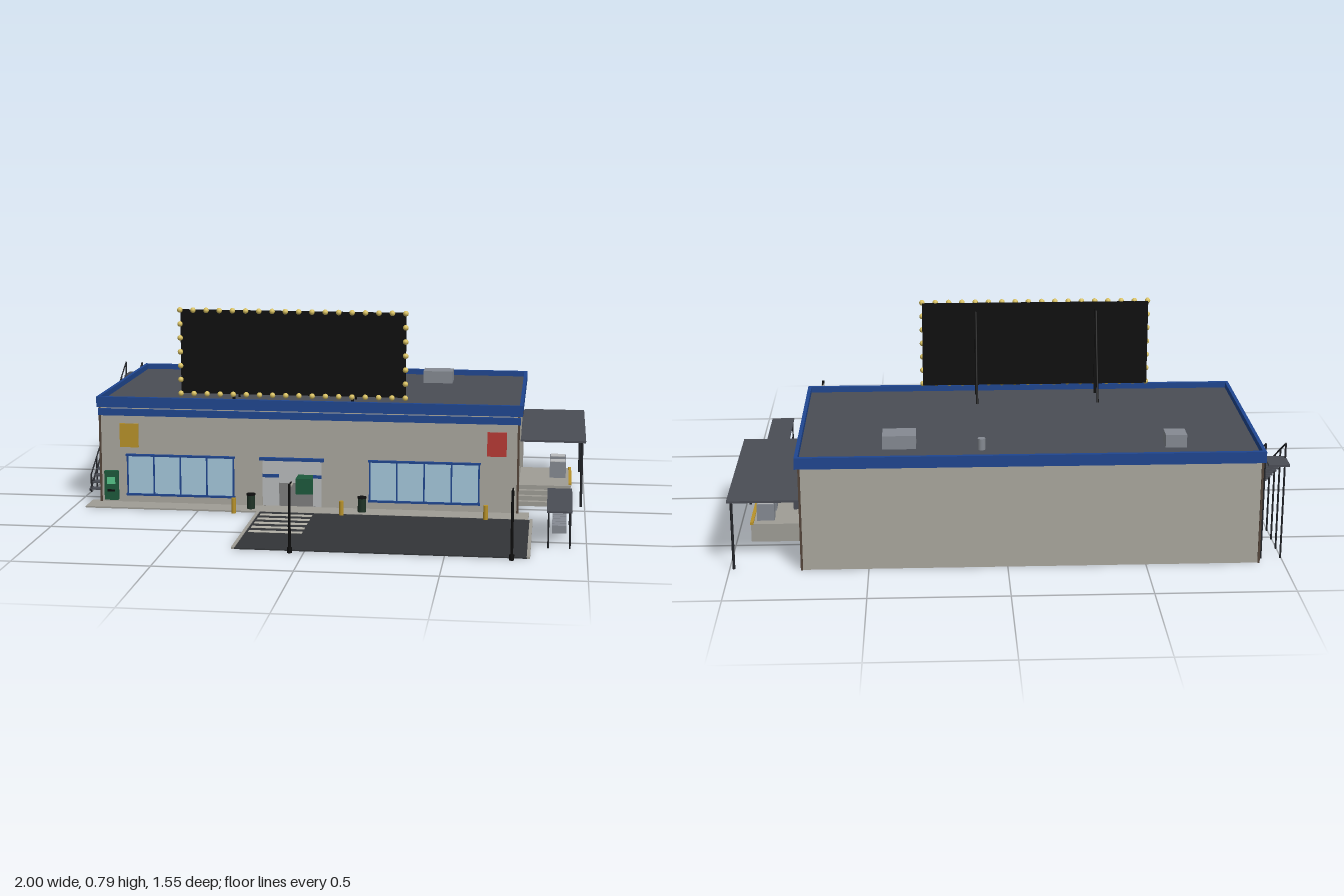
import * as THREE from 'three';

const mat = (color, double) => new THREE.MeshStandardMaterial({ color, side: double ? THREE.DoubleSide : THREE.FrontSide });
const M = {
  wall: mat(0xaaa79e), roof: mat(0x4a4d55), blue: mat(0x1f4690), asphalt: mat(0x333538), black: mat(0x0d0d0d),
  metal: mat(0x23252a), grey: mat(0x858a92), concrete: mat(0x9f9d96), glass: mat(0xa5c8dc), yellow: mat(0xb8922a),
  red: mat(0xb83a34), green: mat(0x1d5a3c), darkGreen: mat(0x1f3326), screen: mat(0x57c78a), bulb: mat(0xd8c060),
  brown: mat(0x6e4f30), trim: mat(0x54453a), stripe: mat(0xb4b2a8), floor: mat(0x6a6a6a), panel: mat(0xb9bbbd),
};

export function createModel() {
  const model = new THREE.Group();
  let parent = model;
  const group = (name) => {
    parent = new THREE.Group();
    parent.name = name;
    model.add(parent);
  };
  const add = (name, geo, m) => {
    const mesh = new THREE.Mesh(geo, m);
    mesh.name = name;
    parent.add(mesh);
    return mesh;
  };
  // Box given by its minimum and maximum on each axis
  const box = (name, m, x0, x1, y0, y1, z0, z1) => {
    const b = add(name, new THREE.BoxGeometry(x1 - x0, y1 - y0, z1 - z0), m);
    b.position.set((x0 + x1) / 2, (y0 + y1) / 2, (z0 + z1) / 2);
    return b;
  };
  const cyl = (name, m, x, z, r, y0, y1, sides = 16) => {
    const c = add(name, new THREE.CylinderGeometry(r, r, y1 - y0, sides), m);
    c.position.set(x, (y0 + y1) / 2, z);
    return c;
  };
  // Straight round bar between two points
  const bar = (name, m, a, b, r = 0.003) => {
    const p = new THREE.Vector3(...a), q = new THREE.Vector3(...b);
    const d = q.clone().sub(p);
    const c = add(name, new THREE.CylinderGeometry(r, r, d.length(), 8), m);
    c.position.copy(p).add(q).multiplyScalar(0.5);
    c.quaternion.setFromUnitVectors(new THREE.Vector3(0, 1, 0), d.normalize());
  };
  // Wall with one rectangular opening, in its own u/y plane
  const wallWithOpening = (name, u0, u1, h, a0, a1, b0, b1, t) => {
    const s = new THREE.Shape([[u0, 0], [u1, 0], [u1, h], [u0, h]].map(p => new THREE.Vector2(...p)));
    s.holes.push(new THREE.Path([[a0, b0], [a0, b1], [a1, b1], [a1, b0]].map(p => new THREE.Vector2(...p))));
    return add(name, new THREE.ExtrudeGeometry(s, { depth: t, bevelEnabled: false }), M.wall);
  };

  // Building shell
  group('building');
  wallWithOpening('frontWall', -0.91, 0.74, 0.4, -0.26, -0.025, 0.004, 0.19, 0.02).position.z = 0.07;
  const side = wallWithOpening('rightWall', -0.07, 0.74, 0.4, 0.595, 0.66, 0.01, 0.215, 0.02);
  side.rotation.y = Math.PI / 2;
  side.position.x = 0.72;
  box('leftWall', M.wall, -0.91, -0.89, 0, 0.4, -0.74, 0.07);
  box('backWall', M.wall, -0.89, 0.72, 0, 0.4, -0.74, -0.72);
  box('floor', M.floor, -0.905, 0.735, 0.001, 0.006, -0.735, 0.085);
  box('roof', M.roof, -0.91, 0.745, 0.395, 0.408, -0.745, 0.09);
  for (const x of [-0.91, 0.74]) for (const z of [-0.74, 0.09])
    box('cornerTrim', M.trim, x - 0.004, x + 0.004, 0, 0.385, z - 0.004, z + 0.004);
  box('frontParapet', M.blue, -0.92, 0.755, 0.388, 0.43, 0.088, 0.103);
  box('backParapet', M.blue, -0.92, 0.755, 0.388, 0.43, -0.755, -0.74);
  box('leftParapet', M.blue, -0.92, -0.907, 0.388, 0.43, -0.74, 0.088);
  box('rightParapet', M.blue, 0.742, 0.755, 0.388, 0.43, -0.74, 0.088);
  box('frontBand', M.blue, -0.915, 0.748, 0.355, 0.382, 0.085, 0.1);

  // Shop windows
  group('windows');
  for (const [x0, x1] of [[-0.8, -0.375], [0.165, 0.59]]) {
    box('glass', M.glass, x0, x1, 0.04, 0.195, 0.085, 0.094);
    box('header', M.blue, x0 - 0.006, x1 + 0.006, 0.193, 0.201, 0.085, 0.102);
    box('sill', M.blue, x0 - 0.006, x1 + 0.006, 0.034, 0.042, 0.085, 0.102);
    for (let i = 0; i <= 4; i++) {
      const x = x0 + (x1 - x0) * i / 4;
      box('mullion', M.blue, x - 0.003, x + 0.003, 0.04, 0.195, 0.085, 0.098);
    }
  }

  // Entrance with open sliding doors and a counter inside
  group('entrance');
  box('doorHeader', M.blue, -0.27, -0.015, 0.19, 0.202, 0.085, 0.105);
  for (const [x0, x1] of [[-0.26, -0.195], [-0.06, -0.025]]) {
    box('slidingDoor', M.panel, x0, x1, 0.006, 0.19, 0.078, 0.084);
    box('doorBand', M.blue, x0, x1, 0.12, 0.133, 0.083, 0.088);
  }
  box('interiorBackdrop', M.panel, -0.55, 0.3, 0.006, 0.39, -0.33, -0.32);
  box('counter', M.green, -0.16, 0, 0.006, 0.07, -0.2, -0.12);

  // Wall posters and cash machine
  group('frontFittings');
  box('yellowPoster', M.yellow, -0.83, -0.755, 0.228, 0.323, 0.088, 0.096);
  box('redPoster', M.red, 0.62, 0.695, 0.228, 0.323, 0.088, 0.096);
  box('cashMachine', M.green, -0.893, -0.838, 0.015, 0.132, 0.088, 0.108);
  box('machineScreen', M.screen, -0.882, -0.849, 0.08, 0.108, 0.107, 0.11);
  box('machineShelf', M.black, -0.88, -0.85, 0.05, 0.058, 0.107, 0.113);

  // Roof billboard with bulbs and braces
  group('billboard');
  box('board', M.black, -0.585, 0.3, 0.445, 0.775, 0.045, 0.063);
  const bulbGeo = new THREE.SphereGeometry(0.011, 12, 8);
  const cols = 17, rows = 6;
  for (let i = 0; i <= cols; i++) for (let j = 0; j <= rows; j++) {
    if (i % cols && j % rows) continue;
    add('bulb', bulbGeo, M.bulb).position.set(-0.585 + 0.885 * i / cols, 0.445 + 0.33 * j / rows, 0.071);
  }
  for (const x of [-0.38, 0.09]) {
    box('post', M.black, x - 0.005, x + 0.005, 0.4, 0.75, 0.036, 0.046);
    bar('brace', M.black, [x, 0.745, 0.04], [x, 0.4, -0.09], 0.0045);
  }

  // Rooftop units
  group('roofEquipment');
  box('smallUnit', M.grey, -0.652, -0.575, 0.405, 0.455, -0.63, -0.555);
  box('largeUnit', M.grey, 0.325, 0.447, 0.405, 0.458, -0.61, -0.52);
  cyl('ventPipe', M.grey, 0.09, -0.62, 0.014, 0.405, 0.45);

  // Outside stair on the left wall, rising to the back
  group('roofStair');
  const steps = 18, zLow = -0.06, zTop = -0.68, rise = 0.385;
  for (let i = 0; i < steps; i++) {
    const z = zLow + (zTop - zLow) * i / steps, y = rise * (i + 1) / (steps + 1);
    box('tread', M.roof, -1, -0.925, y - 0.006, y, z - 0.036, z);
  }
  box('landing', M.roof, -1, -0.925, 0.38, 0.388, -0.775, zTop);
  for (const x of [-0.997, -0.925]) {
    bar('stringer', M.metal, [x, 0.012, zLow], [x, rise - 0.006, zTop], 0.004);
    bar('handrail', M.metal, [x, 0.075, zLow - 0.02], [x, 0.442, zTop - 0.02]);
    for (let i = 0; i <= 7; i++) {
      const z = zLow - 0.02 + (zTop - zLow) * i / 7;
      cyl('stairPost', M.metal, x, z, 0.0035, 0, 0.075 + 0.367 * i / 7, 8);
    }
  }

  // Loading dock on the right side
  group('loadingDock');
  box('platform', M.concrete, 0.74, 0.945, 0, 0.07, -0.465, -0.15);
  box('platformEdge', M.yellow, 0.936, 0.948, 0.067, 0.076, -0.465, -0.15);
  for (let i = 0; i < 4; i++) box('dockStep', M.concrete, 0.74, 0.945, 0, 0.0175 * (i + 1), -0.15, -0.06 - 0.0225 * i);
  for (const z of [-0.3, -0.405]) {
    box('dockUnit', M.grey, 0.86, 0.925, 0.07, 0.135, z - 0.026, z + 0.026);
    box('unitLid', M.panel, 0.863, 0.922, 0.134, 0.138, z - 0.023, z + 0.023);
  }
  box('canopy', M.roof, 0.745, 1, 0.259, 0.267, -0.74, -0.06);
  for (const z of [-0.075, -0.72]) cyl('canopyPost', M.metal, 0.985, z, 0.005, 0, 0.26, 8);
  box('doorAwning', M.roof, 0.738, 0.765, 0.216, 0.243, -0.695, -0.495);
  for (const [z0, z1] of [[-0.69, -0.66], [-0.595, -0.5]]) box('doorLeaf', M.concrete, 0.735, 0.745, 0.006, 0.216, z0, z1);
  box('storeBack', M.metal, 0.62, 0.625, 0.006, 0.23, -0.7, -0.54);
  for (let i = 0; i < 4; i++) {
    const y = 0.012 + 0.051 * i;
    box('shelf', M.grey, 0.66, 0.728, y, y + 0.005, -0.66, -0.595);
    box('carton', M.brown, 0.665, 0.726, y + 0.005, y + 0.039, -0.655, -0.6);
  }

  // Pavement and parking area
  group('ground');
  box('sidewalk', M.concrete, -0.95, 0.785, 0, 0.006, 0.075, 0.187);
  box('parking', M.asphalt, -0.255, 0.79, 0, 0.005, 0.187, 0.738);
  for (const x of [-0.26, 0.795]) box('curb', M.concrete, x - 0.006, x + 0.006, 0, 0.008, 0.187, 0.738);
  for (let i = 0; i < 5; i++) box('stripe', M.stripe, -0.245, -0.043, 0.004, 0.0065, 0.222 + 0.065 * i, 0.249 + 0.065 * i);

  // Bollards, bins and lamps
  group('streetFurniture');
  for (const x of [-0.355, 0.067, 0.622]) cyl('bollard', M.yellow, x, 0.202, 0.009, 0, 0.06);
  for (const x of [-0.297, 0.14]) {
    cyl('bin', M.darkGreen, x, 0.143, 0.016, 0.005, 0.06);
    cyl('binLid', M.black, x, 0.143, 0.018, 0.06, 0.066);
  }
  for (const x of [-0.05, 0.737]) {
    cyl('lampBase', M.black, x, 0.762, 0.009, 0, 0.02);
    cyl('lampPost', M.black, x, 0.762, 0.005, 0, 0.25, 8);
    bar('lampArm', M.black, [x, 0.247, 0.762], [x, 0.247, 0.715], 0.003);
    box('lampHead', M.stripe, x - 0.006, x + 0.006, 0.237, 0.244, 0.712, 0.742);
  }

  // Cart shelter
  group('cartShelter');
  box('shelterRoof', M.roof, 0.855, 0.947, 0.132, 0.138, 0.215, 0.587);
  for (const x of [0.862, 0.94]) {
    for (const z of [0.228, 0.58]) cyl('shelterPost', M.metal, x, z, 0.003, 0, 0.134, 8);
    for (const y of [0.006, 0.062]) bar('shelterRail', M.metal, [x, y, 0.228], [x, y, 0.58], 0.002);
  }
  for (let i = 0; i < 6; i++) box('cart', M.grey, 0.875, 0.927, 0.025, 0.054, 0.25 + 0.036 * i, 0.281 + 0.036 * i);

  return model;
}
